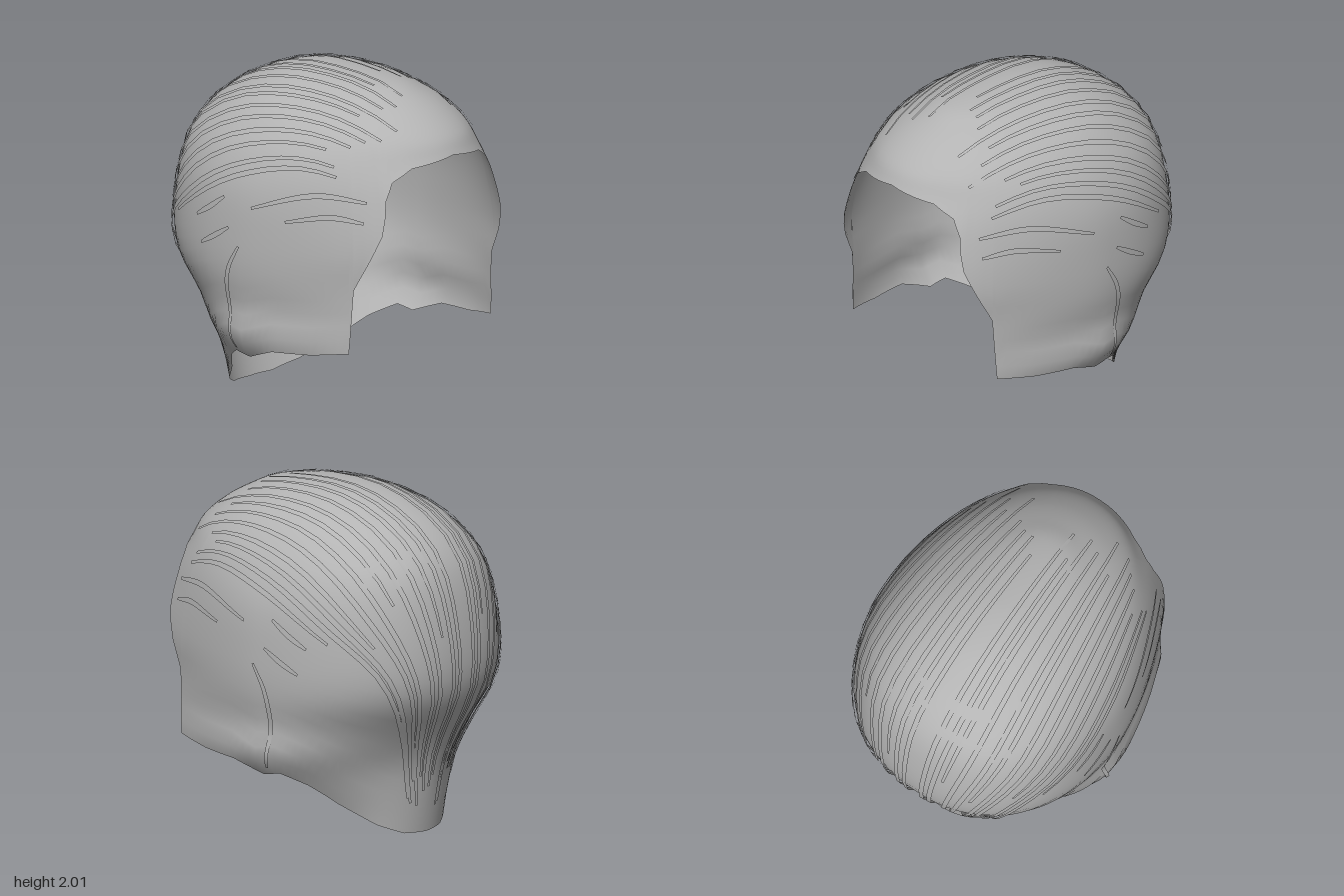
import * as THREE from 'three';

// Head slices: height, half width, front depth, back depth, roundness of the front and back
const SLICES = [
  [2, 0, 0, 0, 2, 2], [1.96, 0.25, 0.45, 0.31, 2, 2], [1.89, 0.4, 0.63, 0.49, 2, 2.05],
  [1.81, 0.52, 0.77, 0.63, 2, 2.1], [1.7, 0.62, 0.9, 0.75, 2, 2.2], [1.57, 0.7, 0.98, 0.83, 1.95, 2.3],
  [1.36, 0.77, 1.17, 0.89, 1.72, 2.3], [1.05, 0.795, 1.37, 0.925, 1.6, 2.3], [0.85, 0.79, 1.34, 0.9, 1.6, 2.2],
  [0.65, 0.76, 1.46, 0.8, 1.6, 1.9], [0.5, 0.785, 1.4, 0.735, 1.6, 1.65], [0.37, 0.7, 1.4, 0.7, 1.6, 1.65],
  [0.14, 0.51, 1.4, 0.66, 1.6, 2], [0, 0.5, 1.4, 0.64, 1.6, 2],
];
// Hairline: degrees round from the front, height
const HEM = [
  [0, 1.61], [18, 1.57], [25.8, 1.5], [28.7, 1.4], [29.5, 1.3], [30.8, 1.2], [35.5, 1.03],
  [40, 0.87], [40.7, 0.7], [41.7, 0.49], [56.5, 0.455], [75, 0.44], [90, 0.37], [99, 0.39],
  [112, 0.32], [128, 0.2], [150, 0.07], [165, 0.01], [180, 0],
];
const depth = (y) => Math.sqrt(Math.max(0, 2 - y));
const KEYS = SLICES.map((r) => depth(r[0]));

// Smooth interpolation of one slice column
function sample(y, col) {
  const s = Math.min(depth(y), KEYS[KEYS.length - 1]);
  let i = 0;
  while (i < KEYS.length - 2 && s > KEYS[i + 1]) i++;
  const slope = (j) => {
    const a = Math.max(0, j - 1), b = Math.min(KEYS.length - 1, j + 1);
    return (SLICES[b][col] - SLICES[a][col]) / (KEYS[b] - KEYS[a]);
  };
  const h = KEYS[i + 1] - KEYS[i], t = (s - KEYS[i]) / h, t2 = t * t, t3 = t2 * t;
  return (2 * t3 - 3 * t2 + 1) * SLICES[i][col] + (t3 - 2 * t2 + t) * h * slope(i)
    + (3 * t2 - 2 * t3) * SLICES[i + 1][col] + (t3 - t2) * h * slope(i + 1);
}

// Distance from the upright axis to the surface
function radius(theta, y) {
  if (y >= 2) return 0;
  const c = Math.cos(theta), front = c > 0;
  const p = sample(y, front ? 4 : 5);
  const a = Math.abs(Math.sin(theta)) / sample(y, 1), b = Math.abs(c) / sample(y, front ? 2 : 3);
  return Math.pow(a ** p + b ** p, -1 / p);
}

// Pushes a point out from the middle of the head onto the surface
const CENTRE = new THREE.Vector3(0, 1, 0);
function project(point, lift) {
  const d = point.clone().sub(CENTRE).normalize();
  const theta = Math.atan2(d.x, d.z), flat = Math.hypot(d.x, d.z);
  let lo = 0, hi = 2;
  for (let i = 0; i < 30; i++) {
    const k = (lo + hi) / 2;
    if (k * flat < radius(theta, 1 + k * d.y)) lo = k; else hi = k;
  }
  return d.multiplyScalar(lo + lift).add(CENTRE);
}

function gridGeometry(positions, cols, rows, closed) {
  const index = [];
  for (let j = 0; j < (closed ? cols : cols - 1); j++) {
    for (let i = 0; i < rows - 1; i++) {
      const a = j * rows + i, c = ((j + 1) % cols) * rows + i;
      index.push(a, a + 1, c, c, a + 1, c + 1);
    }
  }
  const g = new THREE.BufferGeometry();
  g.setAttribute('position', new THREE.Float32BufferAttribute(positions, 3));
  g.setIndex(index);
  g.computeVertexNormals();
  return g;
}

// Open shell from the crown down to the hairline
function shellGeometry() {
  const half = [];
  for (let i = 0; i < HEM.length - 1; i++) {
    const n = Math.max(2, Math.ceil((HEM[i + 1][0] - HEM[i][0]) / 4));
    for (let k = 0; k < n; k++) {
      half.push([0, 1].map((c) => THREE.MathUtils.lerp(HEM[i][c], HEM[i + 1][c], k / n)));
    }
  }
  const columns = [...half, [180, 0], ...half.slice(1).reverse().map(([a, y]) => [360 - a, y])];
  const rows = 37, positions = [];
  for (const [deg, hem] of columns) {
    const theta = THREE.MathUtils.degToRad(deg);
    for (let i = 0; i < rows; i++) {
      const y = 2 - (2 - hem) * (i / (rows - 1)) ** 2;
      const r = i ? radius(theta, y) : 0;
      positions.push(r * Math.sin(theta), y, r * Math.cos(theta));
    }
  }
  const g = gridGeometry(positions, columns.length, rows, true);
  for (let j = 0; j < columns.length; j++) g.attributes.normal.setXYZ(j * rows, 0, 1, 0);
  return g;
}

// Flat tapered lock lying just above the shell, looser towards its end
function strandGeometry(points, from, to, width, loose) {
  const curve = new THREE.CatmullRomCurve3(points);
  const n = Math.max(6, Math.round((to - from) * 22)), positions = [];
  for (let i = 0; i <= n; i++) {
    const t = THREE.MathUtils.lerp(from, to, i / n);
    const p = project(curve.getPoint(t), 0);
    const side = curve.getTangent(t).cross(p.clone().sub(CENTRE)).normalize();
    const w = width * (0.5 + 0.5 * Math.sin(Math.PI * i / n)) / 2;
    for (const s of [-1, 1]) {
      const q = project(p.clone().addScaledVector(side, s * w), 0.011 + loose * t * t);
      positions.push(q.x, q.y, q.z);
    }
  }
  return gridGeometry(positions, n + 1, 2, false);
}

const vectors = (list) => list.map((p) => new THREE.Vector3(...p));
// Sweeps from forehead to nape: along the middle and along the side
const MIDDLE = vectors([[0.03, 1.8, 0.75], [0.04, 2, 0.2], [0.05, 1.93, -0.4],
  [0.05, 1.5, -0.85], [0.04, 1, -0.93], [0.03, 0.5, -0.72], [0.02, 0.12, -0.67]]);
const SIDE = vectors([[0.55, 1.47, 0.78], [0.72, 1.56, 0.4], [0.78, 1.45, 0],
  [0.76, 1.25, -0.38], [0.6, 1, -0.7], [0.33, 0.55, -0.72], [0.18, 0.15, -0.63]]);
// Short locks at the temple and round the ear
const SHORT = [
  [[0.58, 1.28, 0.78], [0.66, 1.3, 0.6], [0.72, 1.23, 0.3]],
  [[0.55, 1.4, 0.78], [0.68, 1.42, 0.5], [0.76, 1.28, 0.08]],
  [[0.8, 1.15, -0.08], [0.8, 1.08, -0.2], [0.8, 1.02, -0.32]],
  [[0.8, 1.33, -0.13], [0.8, 1.25, -0.25], [0.78, 1.18, -0.37]],
  [[0.8, 1.05, 0], [0.78, 0.9, -0.08], [0.74, 0.72, -0.1], [0.73, 0.44, -0.06]],
];

export function createModel() {
  const group = new THREE.Group();
  group.name = 'hair';
  const hairGrey = new THREE.MeshStandardMaterial({ color: 0xb3b3b3, side: THREE.DoubleSide });
  hairGrey.name = 'hair grey';
  const add = (name, geometry) => {
    const mesh = new THREE.Mesh(geometry, hairGrey);
    mesh.name = name;
    group.add(mesh);
  };
  add('hairShell', shellGeometry());

  let seed = 7;
  const random = () => (seed = (seed * 16807) % 2147483647) / 2147483647;
  for (const m of [1, -1]) {
    const side = m > 0 ? 'left' : 'right';
    const mirrored = (p) => new THREE.Vector3(p.x * m, p.y, p.z);
    const count = 12;
    for (let i = 0; i < count; i++) {
      const k = (i + 0.3 + 0.4 * random()) / count;
      const path = MIDDLE.map((p, j) => mirrored(p.clone().lerp(SIDE[j], k)));
      const from = 0.02 + 0.12 * random();
      const to = i % 3 === 2 ? 0.5 + 0.12 * random() : 0.85 + 0.14 * random();
      add(`${side}Strand${i + 1}`, strandGeometry(path, from, to, 0.032, 0.012));
    }
    SHORT.forEach((points, i) => add(`${side}ShortLock${i + 1}`,
      strandGeometry(vectors(points).map(mirrored), 0, 1, 0.032, 0)));
  }
  return group;
}
